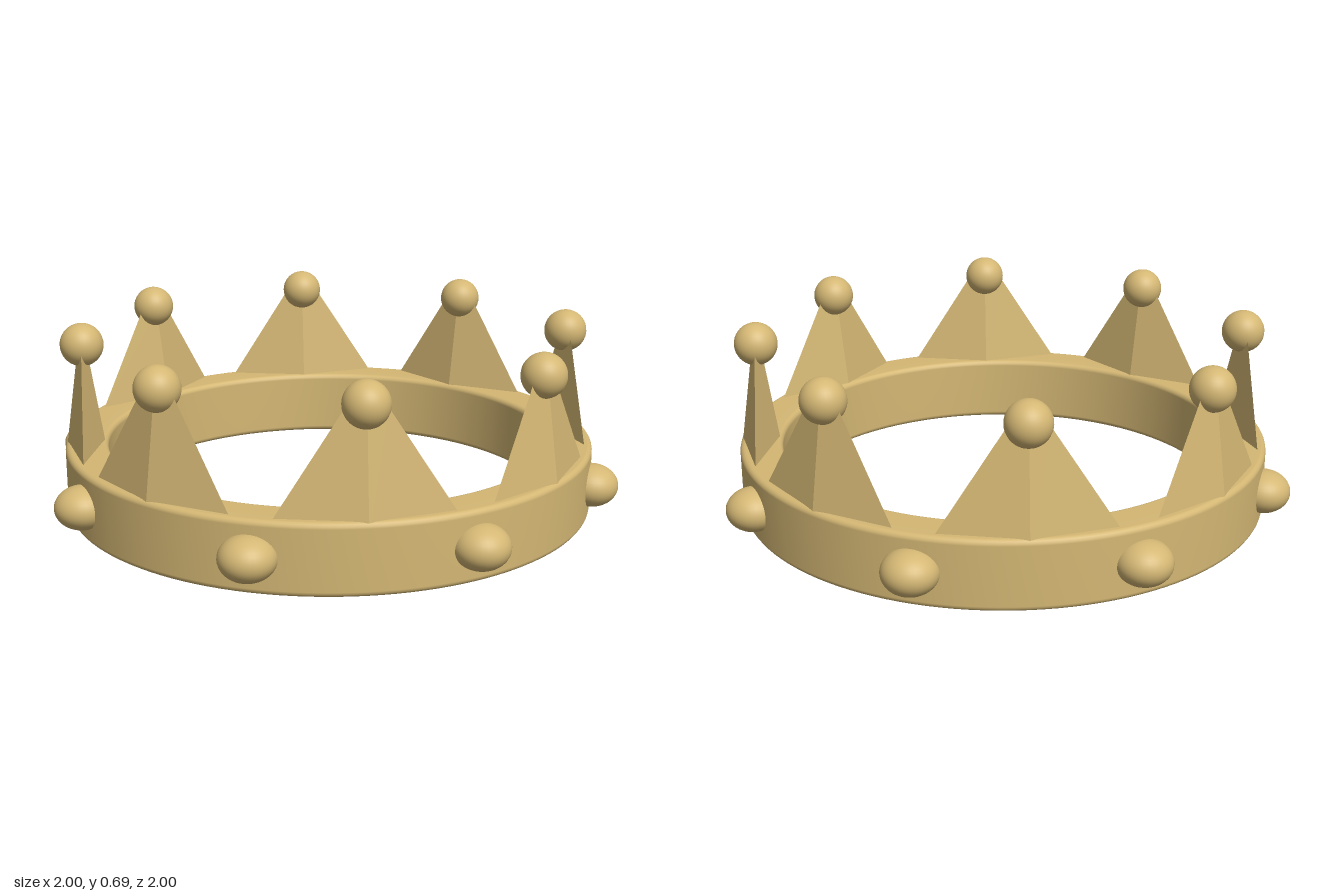
import * as THREE from 'three';

const gold = new THREE.MeshStandardMaterial({ color: 0xd4b774 });
gold.name = 'gold';

const INNER = 0.815, OUTER = 0.97, BOTTOM = 0.005, TOP = 0.255;
const MID = (INNER + OUTER) / 2;

// Closed ring with softly rounded edges
function bandGeometry() {
  const r = 0.02, steps = 4;
  const points = [new THREE.Vector2(MID, BOTTOM)];
  const corners = [
    [OUTER - r, BOTTOM + r, -Math.PI / 2],
    [OUTER - r, TOP - r, 0],
    [INNER + r, TOP - r, Math.PI / 2],
    [INNER + r, BOTTOM + r, Math.PI],
  ];
  for (const [x, y, start] of corners) {
    for (let i = 0; i <= steps; i++) {
      const a = start + (i / steps) * Math.PI / 2;
      points.push(new THREE.Vector2(x + r * Math.cos(a), y + r * Math.sin(a)));
    }
  }
  points.push(new THREE.Vector2(MID, BOTTOM));
  return new THREE.LatheGeometry(points, 128);
}

// Flattened four-sided spike with a blunt tip, sunk slightly into the band
function spikeGeometry() {
  const base = 0.2, tip = 0.6;
  const g = new THREE.CylinderGeometry(0.07, 0.327, tip - base, 4, 1)
    .scale(1, 1, 0.23)
    .translate(0, (base + tip) / 2, 0)
    .toNonIndexed();
  g.computeVertexNormals();
  return g;
}

export function createModel() {
  const crown = new THREE.Group();
  crown.name = 'crown';

  const add = (name, geometry, angle, radius, y) => {
    const mesh = new THREE.Mesh(geometry, gold);
    mesh.name = name;
    mesh.position.set(Math.sin(angle) * radius, y, Math.cos(angle) * radius);
    mesh.rotation.y = angle;
    crown.add(mesh);
  };

  add('band', bandGeometry(), 0, 0, 0);

  const spike = spikeGeometry();
  const ball = new THREE.SphereGeometry(0.078, 32, 20);
  const stud = new THREE.SphereGeometry(0.097, 32, 20).scale(1, 0.79, 1);

  // Eight spikes with balls, and round studs between them
  for (let i = 0; i < 8; i++) {
    const angle = i * Math.PI / 4;
    add('spike', spike, angle, 0.895, 0);
    add('spikeBall', ball, angle, 0.895, 0.614);
    add('bandStud', stud, angle + Math.PI / 8, 0.975, 0.13);
  }
  return crown;
}
